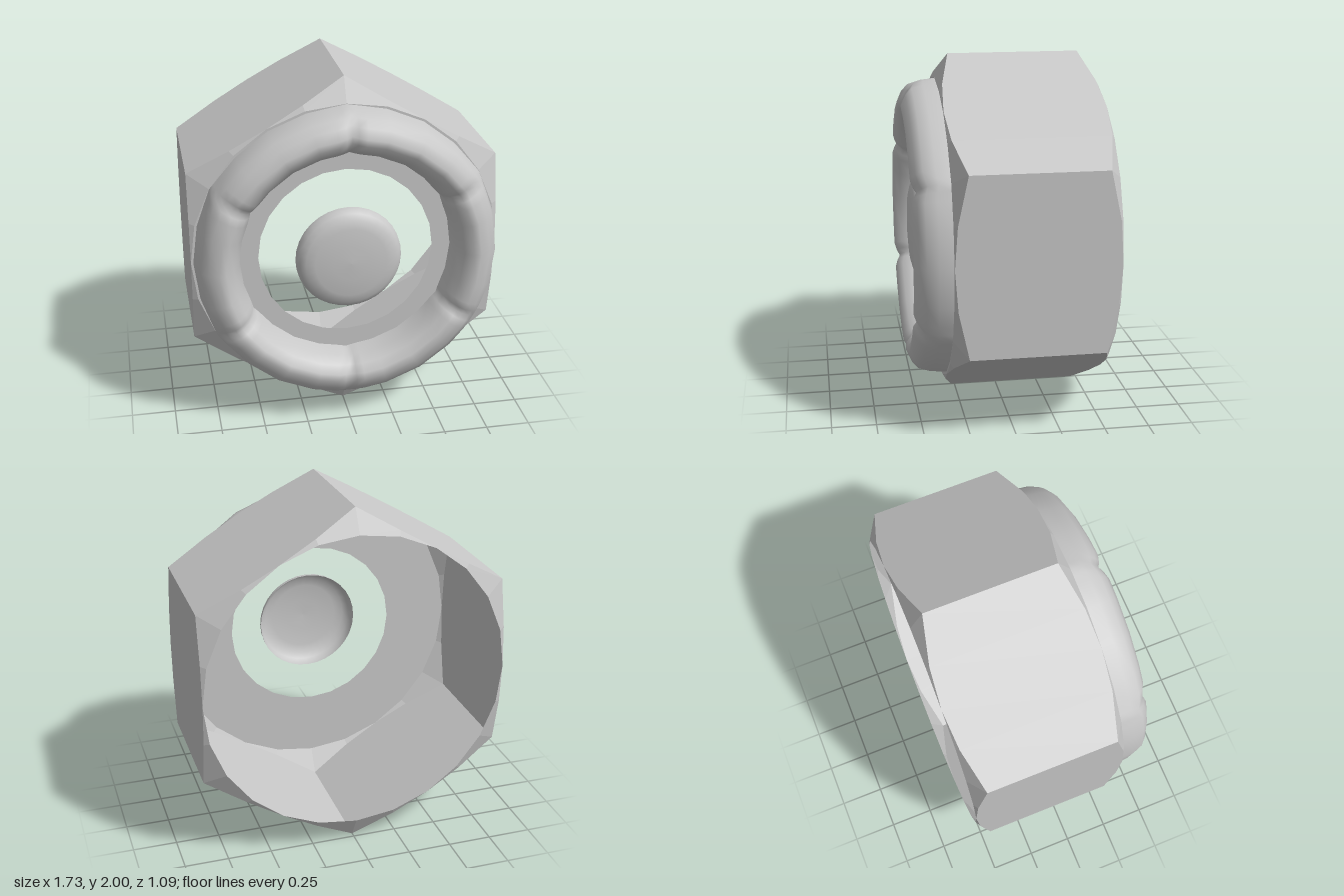
import * as THREE from 'three';

const RIM = Math.sqrt(3) / 2; // inscribed radius of the hexagon
const CENTRE_Y = 1;
const FRONT = 0.345, BACK = -0.545;
const rad = THREE.MathUtils.degToRad;

// Joins closed loops of points, ordered from back to front, into a skin.
function loft(loops) {
  const n = loops[0].length;
  const positions = loops.flat().flatMap((p) => [p.x, p.y, p.z]);
  const index = [];
  for (let j = 0; j < loops.length - 1; j++) {
    for (let i = 0; i < n; i++) {
      const k = (i + 1) % n;
      const a = j * n + i, b = j * n + k, c = b + n, d = a + n;
      index.push(a, b, c, a, c, d);
    }
  }
  const geometry = new THREE.BufferGeometry();
  geometry.setAttribute('position', new THREE.Float32BufferAttribute(positions, 3));
  geometry.setIndex(index);
  return geometry;
}

function polar(degrees, r, z) {
  const a = rad(degrees);
  return new THREE.Vector3(r * Math.cos(a), r * Math.sin(a), z);
}

// Hollow hexagonal shell, both ends cut by a shallow cone.
function hexShell() {
  const angles = Array.from({ length: 24 }, (_, i) => i * 15);
  // Flats face 0, 60, 120... degrees, corners lie between them.
  const hexRadius = (d) => RIM / Math.cos(rad(((d + 30) % 60) - 30));
  const drop = (d) => (hexRadius(d) - RIM) * 0.56;
  const geometry = loft([
    angles.map((d) => polar(d, RIM, BACK)),
    angles.map((d) => polar(d, hexRadius(d), BACK + drop(d))),
    angles.map((d) => polar(d, hexRadius(d), FRONT - drop(d))),
    angles.map((d) => polar(d, RIM, FRONT)),
  ]).toNonIndexed();
  geometry.computeVertexNormals();
  return geometry;
}

// Raised collar of six rounded lobes with a small pinch between neighbours.
function lobedCollar() {
  const profile = [
    [0.853, FRONT], [0.845, 0.42], [0.825, 0.483], [0.785, 0.52], [0.73, 0.545],
    [0.69, 0.54], [0.645, 0.505], [0.612, 0.44], [0.6, FRONT],
  ];
  // Offset from the pinch in degrees, and how deep the pinch is there.
  const lobe = [[0, 1], [2.5, 0.45], [6, 0], [15, 0], [30, 0], [45, 0], [54, 0], [57.5, 0.45]];
  const stations = [];
  for (let s = 0; s < 6; s++) {
    for (const [offset, pinch] of lobe) stations.push([30 + s * 60 + offset, pinch]);
  }
  const geometry = loft(profile.map(([r, z]) => stations.map(([d, pinch]) =>
    polar(d, r + 0.011 * pinch, FRONT + (z - FRONT) * (1 - 0.15 * pinch)))));
  geometry.computeVertexNormals();
  return geometry;
}

// Shallow open-backed dome floating in the opening.
function domeButton() {
  const profile = [
    [0.297, 0.41], [0.295, 0.435], [0.28, 0.465], [0.25, 0.487],
    [0.2, 0.5], [0.1, 0.509], [0, 0.512],
  ].map(([r, z]) => new THREE.Vector2(r, z));
  return new THREE.LatheGeometry(profile, 32).rotateX(Math.PI / 2);
}

export function createModel() {
  const model = new THREE.Group();
  model.name = 'hexNut';
  const steel = new THREE.MeshStandardMaterial({ color: 0xc8c8c8, side: THREE.DoubleSide });
  steel.name = 'lightGrey';

  const add = (name, geometry) => {
    const mesh = new THREE.Mesh(geometry, steel);
    mesh.name = name;
    mesh.position.y = CENTRE_Y;
    model.add(mesh);
  };

  add('hexShell', hexShell());
  add('frontPlate', new THREE.RingGeometry(0.495, RIM, 24).translate(0, 0, FRONT));
  add('lobedCollar', lobedCollar());
  add('centreButton', domeButton());
  return model;
}
